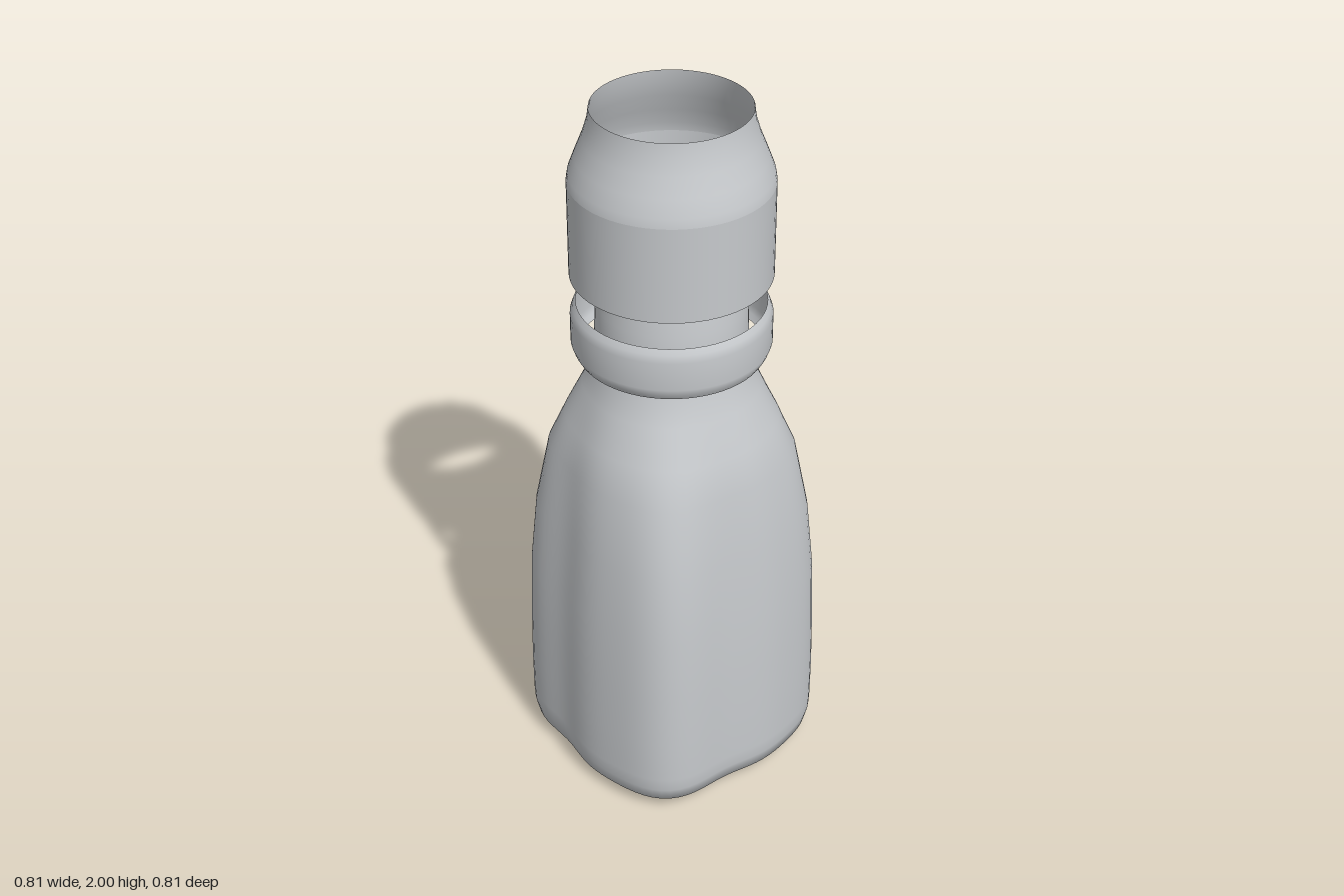
import * as THREE from 'three';
import { mergeVertices } from 'three/addons/utils/BufferGeometryUtils.js';

const v = (pts) => pts.map(([r, y]) => new THREE.Vector2(r, y));

// Lathe whose cross-section swells into four soft, slightly twisted corners
function lobedLathe(profile) {
  const geo = new THREE.LatheGeometry(v(profile), 96);
  const p = geo.attributes.position;
  for (let i = 0; i < p.count; i++) {
    const x = p.getX(i), y = p.getY(i), z = p.getZ(i);
    const r = Math.hypot(x, z);
    if (r < 1e-5) continue;
    const a = Math.atan2(x, z);
    const fade = 1 - THREE.MathUtils.smoothstep(y, 0.8, 1.32);
    const lobe = 0.0275 * (Math.cos(4 * a) - 1) + 0.0025 * (Math.cos(8 * a) - 1) + 0.006 * Math.sin(8 * a);
    const k = 1 + fade * lobe / 0.405;
    p.setXYZ(i, x * k, y, z * k);
  }
  geo.deleteAttribute('uv');
  geo.deleteAttribute('normal');
  const merged = mergeVertices(geo, 1e-5);
  merged.computeVertexNormals();
  return merged;
}

export function createModel() {
  const group = new THREE.Group();
  const plastic = new THREE.MeshStandardMaterial({ color: 0xc6c9cc, side: THREE.DoubleSide });
  plastic.name = 'greyPlastic';
  const dark = new THREE.MeshStandardMaterial({ color: 0x3a392f, side: THREE.DoubleSide });
  dark.name = 'darkInterior';

  const add = (name, geo, mat = plastic) => {
    const mesh = new THREE.Mesh(geo, mat);
    mesh.name = name;
    group.add(mesh);
    return mesh;
  };
  const lathe = (pts) => new THREE.LatheGeometry(v(pts), 64);

  // Four-cornered bottle body, closed at the base
  add('bottleBody', lobedLathe([
    [0, 0.004], [0.2, 0.002], [0.32, 0], [0.34, 0.008], [0.393, 0.04], [0.403, 0.08],
    [0.405, 0.12], [0.405, 0.25], [0.402, 0.4], [0.395, 0.6], [0.375, 0.8], [0.335, 1.0],
    [0.29, 1.1], [0.24, 1.2], [0.218, 1.25], [0.205, 1.3],
  ]));

  // Round neck and its narrow lip
  add('neck', lathe([[0.205, 1.3], [0.203, 1.38], [0.2, 1.45], [0.184, 1.535]]));
  add('neckLip', lathe([[0.184, 1.535], [0.178, 1.542], [0.16, 1.544]]));

  // Dark disc within the mouth
  const mouth = add('mouthInterior', new THREE.CircleGeometry(0.161, 64), dark);
  mouth.rotation.x = -Math.PI / 2;
  mouth.position.y = 1.54;

  // Loose hollow ring around the neck
  add('collarRing', lathe([
    [0.25, 1.3], [0.259, 1.315], [0.266, 1.335], [0.266, 1.415], [0.259, 1.435], [0.25, 1.45],
  ]));

  // Open cap, straight below and tapering to the top
  add('capSkirt', lathe([[0.266, 1.535], [0.266, 1.8]]));
  add('capTaper', lathe([
    [0.266, 1.8], [0.262, 1.825], [0.245, 1.87], [0.225, 1.92], [0.211, 1.965], [0.206, 2.0],
  ]));

  return group;
}
